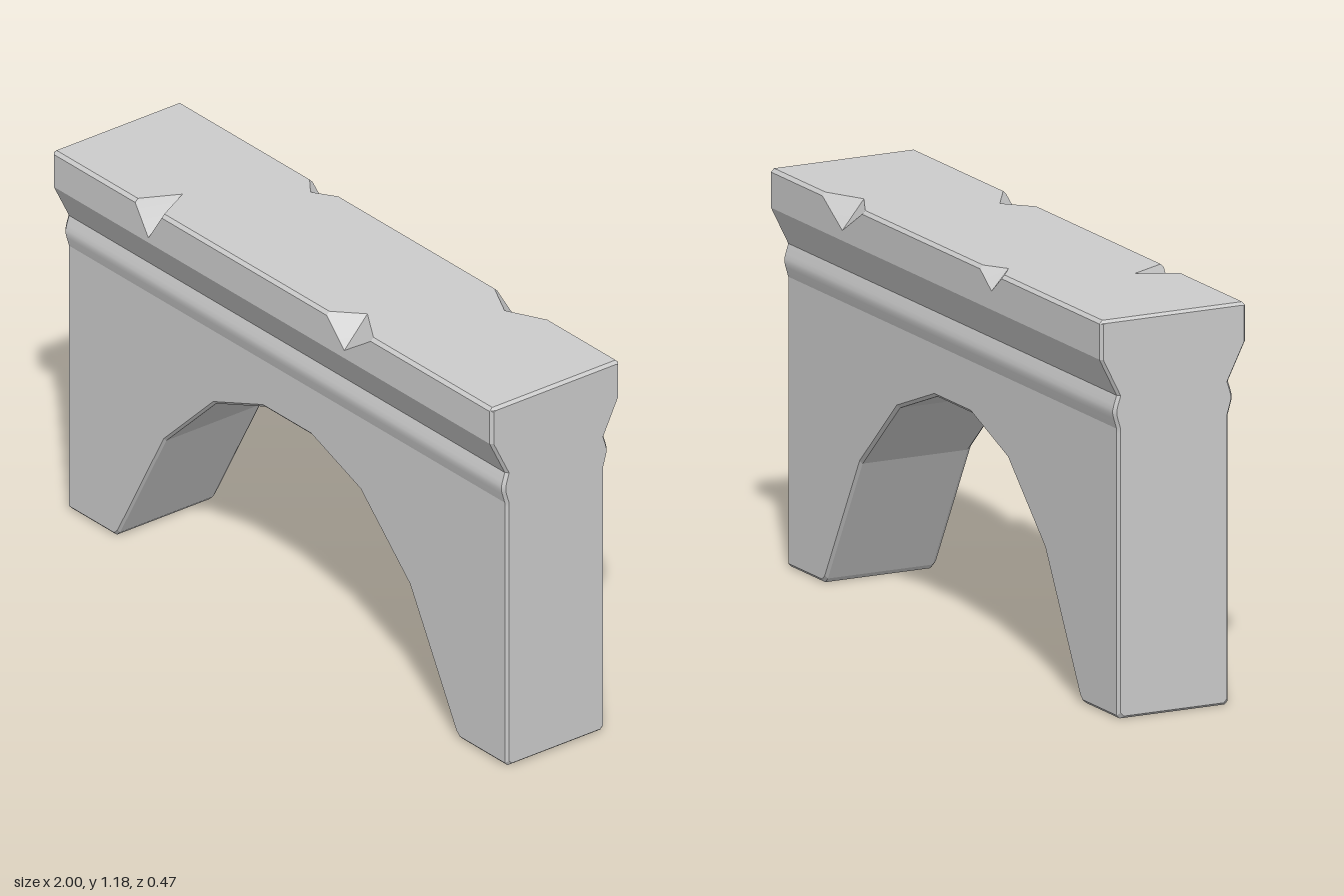
import * as THREE from 'three';
import { toCreasedNormals } from 'three/addons/utils/BufferGeometryUtils.js';

const TOP = 1.18, WALL = 0.18, CAP = 0.236, BEVEL = 0.01;

// underside height against distance from the middle
const ARCH = [[0, 0.7], [0.11, 0.7], [0.335, 0.615], [0.56, 0.4], [0.77, 0.014], [0.785, 0], [1, 0]];

// chips in the top edges: start, deepest point and end in x, then depth down and inward
const CHIPS = {
  front: [
    { x: [-0.62, -0.56, -0.5], down: 0.1, inward: 0.125 },
    { x: [0.25, 0.33, 0.45], down: 0.09, inward: 0.085 },
  ],
  back: [
    { x: [-0.4, -0.34, -0.27], down: 0.06, inward: 0.055 },
    { x: [0.44, 0.56, 0.68], down: 0.085, inward: 0.07 },
  ],
};

function underside(x) {
  const ax = Math.abs(x);
  const i = Math.max(1, ARCH.findIndex((p) => p[0] >= ax - 1e-6));
  const [x0, y0] = ARCH[i - 1], [x1, y1] = ARCH[i];
  return THREE.MathUtils.lerp(y0, y1, (ax - x0) / (x1 - x0));
}

// size of the cut in the top edge at x: a fine bevel, or a chip
function edgeCut(chips, x) {
  for (const { x: [a, m, b], down, inward } of chips) {
    if (x <= a || x >= b) continue;
    const t = x < m ? (x - a) / (m - a) : (b - x) / (b - m);
    return [THREE.MathUtils.lerp(BEVEL, down, t), THREE.MathUtils.lerp(BEVEL, inward, t)];
  }
  return [BEVEL, BEVEL];
}

// one side of the cross-section, from the bottom up, as [z, y]
function sideProfile(x, chips, inset) {
  const y0 = underside(x) + inset;
  const [down, inward] = edgeCut(chips, x);
  return [
    [WALL - BEVEL, y0], [WALL, y0 + BEVEL],
    [WALL, 0.84], [WALL, 0.855],
    // rounded bead
    [0.189, 0.885], [0.1925, 0.899], [0.1925, 0.911], [0.189, 0.925],
    [WALL, 0.953],
    // flared coping
    [CAP, 1.065], [CAP, TOP - down], [CAP - inward, TOP - inset],
  ].map(([z, y]) => [z - inset, y]);
}

function bridgeGeometry() {
  const marks = [0.99, 1, ...ARCH.slice(1, -1).map((p) => p[0])].flatMap((x) => [-x, x]);
  const chipMarks = [...CHIPS.front, ...CHIPS.back].flatMap((c) => c.x);
  const stations = [...new Set([...marks, ...chipMarks])].sort((a, b) => a - b);

  const rings = stations.map((x) => {
    const inset = Math.abs(x) === 1 ? 0.008 : 0;
    const front = sideProfile(x, CHIPS.front, inset);
    const back = sideProfile(x, CHIPS.back, inset).map(([z, y]) => [-z, y]).reverse();
    return [...front, ...back];
  });

  const n = rings[0].length, last = (rings.length - 1) * n;
  const positions = [], index = [];
  rings.forEach((ring, i) => ring.forEach(([z, y]) => positions.push(stations[i], y, z)));

  // skin between neighbouring sections
  for (let i = 0; i < rings.length - 1; i++) {
    for (let j = 0; j < n; j++) {
      const k = (j + 1) % n;
      const a = i * n + j, b = a + n, d = i * n + k, c = d + n;
      index.push(a, b, c, a, c, d);
    }
  }

  // end faces
  const outline = rings[0].map(([z, y]) => new THREE.Vector2(-z, y)).reverse();
  for (const tri of THREE.ShapeUtils.triangulateShape(outline, [])) {
    const [a, b, c] = tri.map((k) => n - 1 - k);
    index.push(last + a, last + b, last + c, a, c, b);
  }

  const geometry = new THREE.BufferGeometry();
  geometry.setAttribute('position', new THREE.Float32BufferAttribute(positions, 3));
  geometry.setIndex(index);
  return toCreasedNormals(geometry, 0.25);
}

export function createModel() {
  const group = new THREE.Group();
  group.name = 'archedWall';
  const wall = new THREE.Mesh(bridgeGeometry(), new THREE.MeshStandardMaterial({ color: 0xcccccc }));
  wall.name = 'archWithCoping';
  group.add(wall);
  return group;
}
